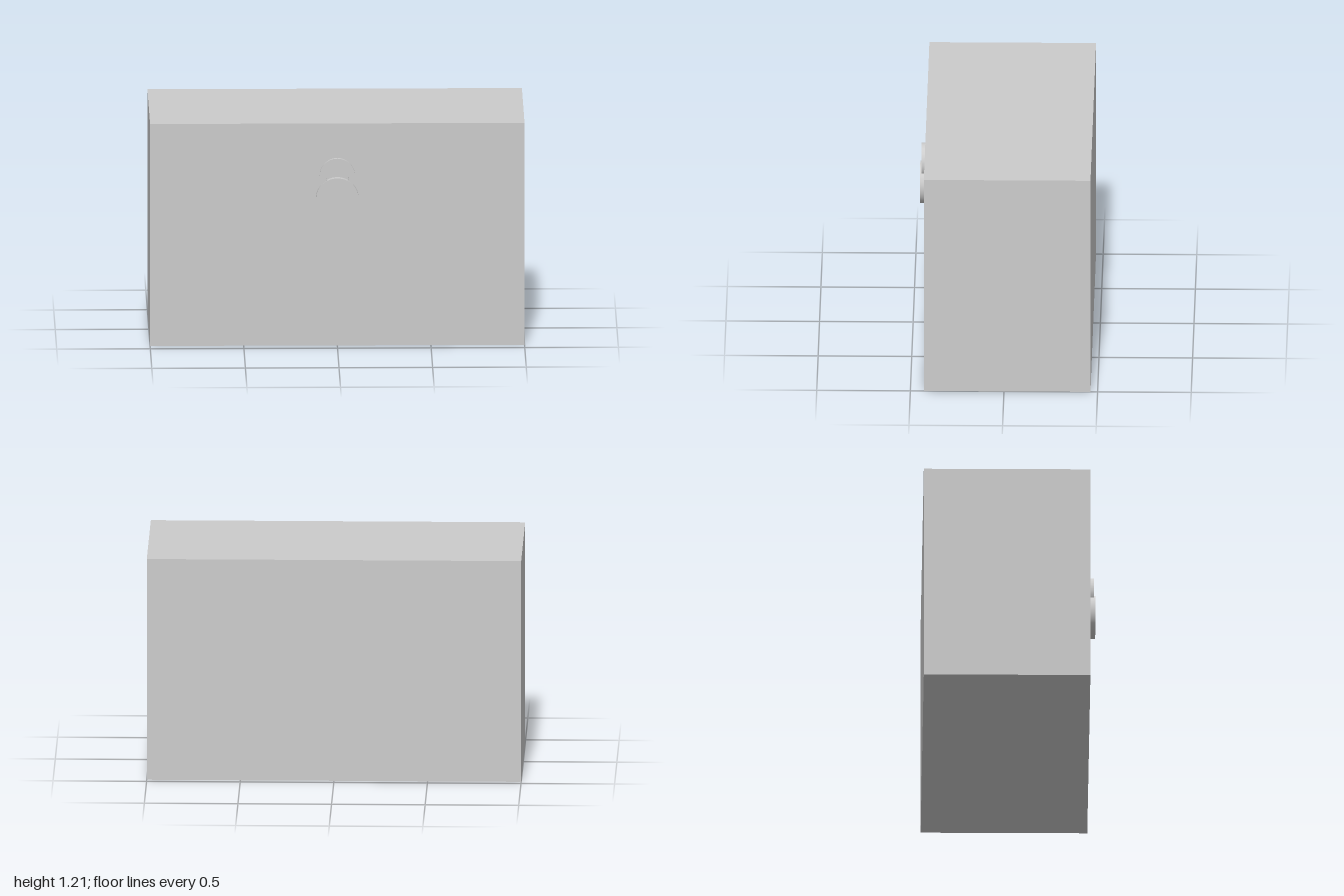
import * as THREE from 'three';

export function createModel() {
  const model = new THREE.Group();
  const material = new THREE.MeshStandardMaterial({ color: 0xcccccc });

  const add = (name, geometry, x, y, z, parent = model) => {
    const mesh = new THREE.Mesh(geometry, material);
    mesh.name = name;
    mesh.position.set(x, y, z);
    parent.add(mesh);
    return mesh;
  };

  // Plain rectangular chest
  const height = 1.212, back = -0.462, front = 0.428;
  add('chestBody', new THREE.BoxGeometry(2, height, front - back), 0, height / 2, (front + back) / 2);

  // Padlock on the chest front
  const padlock = new THREE.Group();
  padlock.name = 'padlock';
  padlock.position.set(0, 0.805, front);
  model.add(padlock);

  // Round lock body
  const depth = 0.034;
  const disc = new THREE.CylinderGeometry(0.114, 0.114, depth, 64).rotateX(Math.PI / 2);
  add('lockBody', disc, 0, 0, depth / 2, padlock);

  // Flat ring shackle, its lower part sunk into the lock body
  const ring = new THREE.Shape().absarc(0, 0, 0.094, 0, Math.PI * 2);
  ring.holes.push(new THREE.Path().absarc(0, 0, 0.062, 0, Math.PI * 2, true));
  const shackle = new THREE.ExtrudeGeometry(ring, { depth: 0.02, bevelEnabled: false, curveSegments: 48 });
  add('shackle', shackle, 0, 0.126, 0.007, padlock);

  return model;
}
